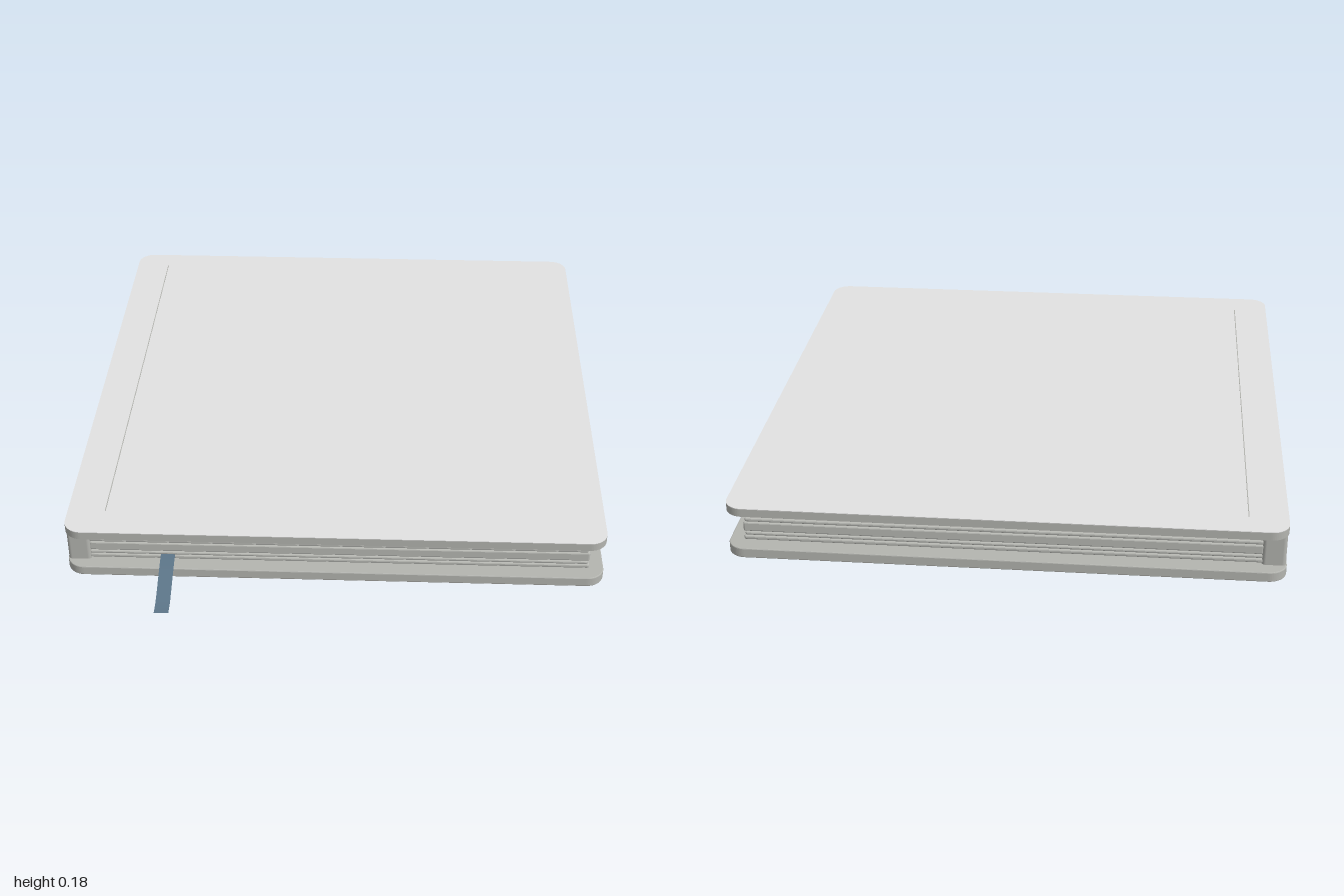
import * as THREE from 'three';

const X = 0.867, BACK = -1, FRONT = 0.815;

// Rounded rectangle in plan, extruded upwards from y0 to y1
function slab(x0, x1, z0, z1, y0, y1, r, bevel = 0) {
  const s = new THREE.Shape();
  const a = x0 + bevel, b = x1 - bevel, c = -z1 + bevel, d = -z0 - bevel;
  s.moveTo(a + r, c);
  s.lineTo(b - r, c);
  s.absarc(b - r, c + r, r, -Math.PI / 2, 0);
  s.absarc(b - r, d - r, r, 0, Math.PI / 2);
  s.absarc(a + r, d - r, r, Math.PI / 2, Math.PI);
  s.absarc(a + r, c + r, r, Math.PI, Math.PI * 1.5);
  const g = new THREE.ExtrudeGeometry(s, {
    depth: y1 - y0 - 2 * bevel, curveSegments: 8, bevelEnabled: bevel > 0,
    bevelSize: bevel, bevelThickness: bevel, bevelSegments: 2,
  });
  g.rotateX(-Math.PI / 2);
  g.translate(0, y0 + bevel, 0);
  return g;
}

export function createModel() {
  const book = new THREE.Group();
  book.name = 'notebook';
  const coverMat = new THREE.MeshStandardMaterial({ color: 0xb4b5b0 });
  coverMat.name = 'cover grey';
  const faceMat = new THREE.MeshStandardMaterial({ color: 0xe2e2e2 });
  faceMat.name = 'front face pale grey';
  const pageMat = new THREE.MeshStandardMaterial({ color: 0xb8b9b4 });
  pageMat.name = 'page grey';
  const ribbonMat = new THREE.MeshStandardMaterial({ color: 0x5c7588, side: THREE.DoubleSide });
  ribbonMat.name = 'ribbon blue';

  const add = (name, geometry, material) => {
    const mesh = new THREE.Mesh(geometry, material);
    mesh.name = name;
    book.add(mesh);
    return mesh;
  };

  // Two boards with rounded corners, the upper one faced with a pale sheet
  add('bottomCover', slab(-X, X, BACK, FRONT, 0, 0.033, 0.055, 0.003), coverMat);
  add('topCover', slab(-X, X, BACK, FRONT, 0.147, 0.173, 0.058), coverMat);
  add('topCoverFace', slab(-X, X, BACK, FRONT, 0.173, 0.175, 0.058), faceMat);

  // Spine wall between the boards
  add('spine', slab(-X + 0.003, -0.79, -0.955, 0.775, 0.03, 0.15, 0.012), coverMat);

  // Hinge crease on the top board
  const crease = add('hingeCrease', new THREE.BoxGeometry(0.003, 0.002, 1.61), coverMat);
  crease.position.set(-0.745, 0.1748, -0.105);

  // Page block: an inset core and folded signatures stacked on it
  add('pageCore', slab(-0.8, 0.805, -0.94, 0.757, 0.033, 0.141, 0.004), pageMat);
  const signatures = [[0.036, 0.049], [0.052, 0.063], [0.066, 0.097], [0.1, 0.112], [0.115, 0.141]];
  signatures.forEach(([y0, y1], i) => {
    const inset = i % 2 ? 0.005 : 0;
    add('signature' + (i + 1),
      slab(-0.795, 0.82 - inset, -0.95, 0.768, y0, y1, 0.003, 0.004), pageMat);
  });

  // Ribbon bookmark drooping out of the front edge and levelling off at its tip
  const path = new THREE.CatmullRomCurve3([
    new THREE.Vector3(-0.541, 0.055, 0.70),
    new THREE.Vector3(-0.540, 0.053, 0.78),
    new THREE.Vector3(-0.538, 0.045, 0.84),
    new THREE.Vector3(-0.537, 0.027, 0.90),
    new THREE.Vector3(-0.536, 0.012, 0.96),
    new THREE.Vector3(-0.536, 0.008, 1.0),
  ]);
  const ribbon = new THREE.PlaneGeometry(0.046, 1, 1, 16);
  const pos = ribbon.attributes.position;
  for (let i = 0; i < pos.count; i++) {
    const p = path.getPoint(0.5 - pos.getY(i));
    pos.setXYZ(i, p.x + pos.getX(i), p.y, p.z);
  }
  ribbon.computeVertexNormals();
  add('ribbonBookmark', ribbon, ribbonMat);

  return book;
}
